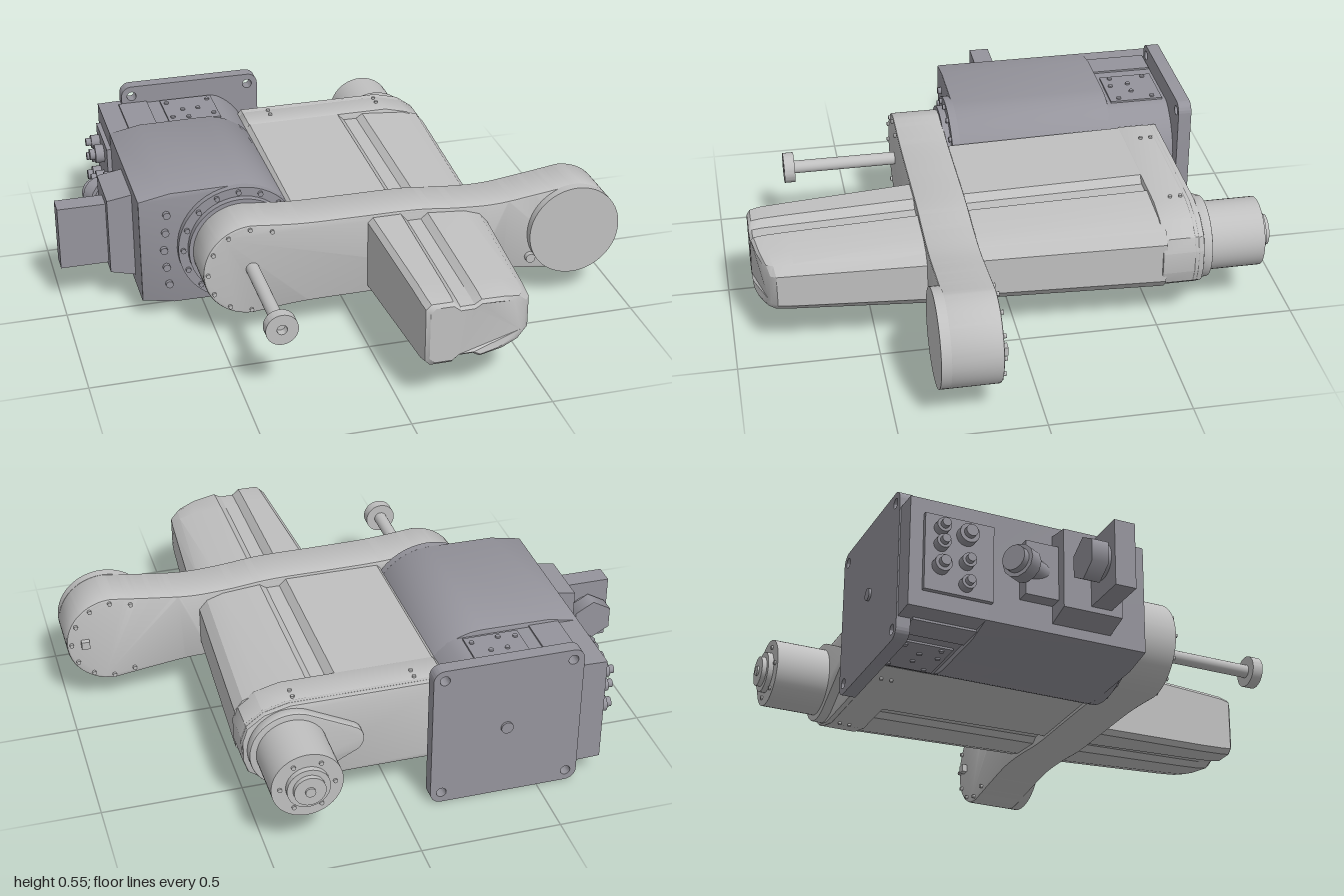
import * as THREE from 'three';
import { toCreasedNormals } from 'three/addons/utils/BufferGeometryUtils.js';

const CY = 0.28;   // height of the shared horizontal axis
const BX = -0.377; // x of the base and shoulder axis

const mats = {
  light: new THREE.MeshStandardMaterial({ color: 0xc0c0c0 }),
  dark: new THREE.MeshStandardMaterial({ color: 0x95949c }),
};
mats.light.name = 'light grey';
mats.dark.name = 'dark grey';

export function createModel() {
  const model = new THREE.Group();
  model.name = 'robotArm';

  const add = (name, geo, mat, x = 0, y = 0, z = 0) => {
    const m = new THREE.Mesh(geo, mats[mat]);
    m.name = name;
    m.position.set(x, y, z);
    model.add(m);
    return m;
  };
  const box = (name, mat, x0, x1, y0, y1, z0, z1) =>
    add(name, new THREE.BoxGeometry(x1 - x0, y1 - y0, z1 - z0), mat, (x0 + x1) / 2, (y0 + y1) / 2, (z0 + z1) / 2);
  // cylinder along z between z0 and z1
  const cylZ = (name, mat, x, y, r, z0, z1, n = 40) =>
    add(name, new THREE.CylinderGeometry(r, r, z1 - z0, n).rotateX(Math.PI / 2), mat, x, y, (z0 + z1) / 2);
  const cylX = (name, mat, y, z, r, x0, x1, n = 24) =>
    add(name, new THREE.CylinderGeometry(r, r, x1 - x0, n).rotateZ(Math.PI / 2), mat, (x0 + x1) / 2, y, z);
  const cylY = (name, mat, x, z, r, y0, y1, n = 10) =>
    add(name, new THREE.CylinderGeometry(r, r, y1 - y0, n), mat, x, (y0 + y1) / 2, z);
  // outline extruded from z0 to z1 with a small bevel
  const slab = (name, mat, shape, z0, z1, b = 0) => {
    const g = new THREE.ExtrudeGeometry(shape, {
      depth: z1 - z0 - 2 * b, bevelEnabled: b > 0, bevelSize: b, bevelThickness: b,
      bevelOffset: -b, bevelSegments: 2, curveSegments: 24,
    });
    return add(name, toCreasedNormals(g, 0.5), mat, 0, 0, z0 + b);
  };
  const poly = (pts) => new THREE.Shape(pts.map(([x, y]) => new THREE.Vector2(x, y)));
  // skin over matching rings running towards +z, closed at both ends
  const loft = (name, mat, rings) => {
    const n = rings[0].length, pos = rings.flat(2), idx = [];
    for (let r = 0; r < rings.length - 1; r++)
      for (let i = 0; i < n; i++) {
        const j = (i + 1) % n, a = r * n, b = a + n;
        idx.push(a + i, b + j, a + j, a + i, b + i, b + j);
      }
    const faces = THREE.ShapeUtils.triangulateShape(rings[0].map(p => new THREE.Vector2(p[0], p[1])), []);
    const e = (rings.length - 1) * n;
    const cw = THREE.ShapeUtils.isClockWise(rings[0].map(p => new THREE.Vector2(p[0], p[1])));
    for (const f of faces) {
      const [a, b, c] = f.map(k => rings[0][k]);
      const ccw = (b[0] - a[0]) * (c[1] - a[1]) - (b[1] - a[1]) * (c[0] - a[0]) > 0;
      const [p, q, s] = ccw ? f : [f[0], f[2], f[1]];
      idx.push(p, s, q, e + p, e + q, e + s);
    }
    // the outline runs clockwise, so flip the side walls
    if (cw) for (let k = 0; k < (rings.length - 1) * n * 6; k += 3) [idx[k + 1], idx[k + 2]] = [idx[k + 2], idx[k + 1]];
    for (let k = 0; k < (rings.length - 1) * n * 6; k += 3) [idx[k + 1], idx[k + 2]] = [idx[k + 2], idx[k + 1]];
    if (!cw) for (let k = 0; k < (rings.length - 1) * n * 6; k += 3) [idx[k + 1], idx[k + 2]] = [idx[k + 2], idx[k + 1]];
    // orient walls outward by checking the first one against the ring centre
    const g = new THREE.BufferGeometry();
    g.setAttribute('position', new THREE.Float32BufferAttribute(pos, 3));
    const P = (i) => new THREE.Vector3().fromArray(pos, i * 3);
    const nrm = P(idx[1]).sub(P(idx[0])).cross(P(idx[2]).sub(P(idx[0])));
    const mid = new THREE.Vector3(0.25, CY, P(idx[0]).z);
    if (nrm.dot(P(idx[0]).sub(mid)) < 0)
      for (let k = 0; k < (rings.length - 1) * n * 6; k += 3) [idx[k + 1], idx[k + 2]] = [idx[k + 2], idx[k + 1]];
    g.setIndex(idx);
    return add(name, toCreasedNormals(g, 0.5), mat);
  };

  // --- base: round column with a square back, flattened near the plate ---
  const baseOutline = (clip) => {
    const pts = [[-0.735, CY + 0.2], [-0.735, CY - 0.2], [-0.62, CY - 0.222]];
    for (let i = 0; i <= 32; i++) {
      const a = -Math.PI / 2 + Math.PI * i / 32;
      pts.push([BX + 0.224 * Math.cos(a), CY + 0.224 * Math.sin(a)]);
    }
    pts.push([-0.62, CY + 0.222]);
    return poly(pts.map(([x, y]) => [x, CY + Math.max(-clip, Math.min(clip, y - CY))]));
  };
  slab('baseColumn', 'dark', baseOutline(0.3), -0.49, 0.1, 0.006);
  slab('baseRear', 'dark', baseOutline(0.203), -0.762, -0.48);
  cylZ('shoulderFlange', 'dark', BX, CY, 0.224, 0.095, 0.125, 48);
  cylZ('shoulderBearing', 'dark', BX, CY, 0.19, 0.12, 0.15, 48);
  for (let i = 0; i < 16; i++) {
    const a = i * Math.PI / 8;
    cylZ('flangeBolt', 'dark', BX + 0.207 * Math.cos(a), CY + 0.207 * Math.sin(a), 0.01, 0.12, 0.135, 8);
  }
  for (const dy of [-0.14, -0.07, 0, 0.07, 0.14])
    cylZ('faceBolt', 'dark', -0.65 + Math.abs(dy) * 0.1, CY + dy, 0.014, 0.095, 0.115, 8);

  // mounting plate with a hole in each corner
  const plate = new THREE.Shape(), hw = 0.27, hh = 0.275, cr = 0.04;
  plate.absarc(BX + hw - cr, CY + hh - cr, cr, 0, Math.PI / 2);
  plate.absarc(BX - hw + cr, CY + hh - cr, cr, Math.PI / 2, Math.PI);
  plate.absarc(BX - hw + cr, CY - hh + cr, cr, Math.PI, Math.PI * 1.5);
  plate.absarc(BX + hw - cr, CY - hh + cr, cr, Math.PI * 1.5, Math.PI * 2);
  for (const sx of [-1, 1]) for (const sy of [-1, 1]) {
    const hole = new THREE.Path();
    hole.absarc(BX + sx * (hw - cr), CY + sy * (hh - cr), 0.018, 0, Math.PI * 2, true);
    plate.holes.push(hole);
  }
  slab('mountingPlate', 'dark', plate, -0.767, -0.718);
  cylZ('plateBoss', 'dark', BX, CY, 0.022, -0.775, -0.76);

  // access covers above and below
  for (const s of [-1, 1]) {
    const y = CY + s * 0.206;
    box('accessCover', 'dark', -0.5, -0.3, y - 0.004, y + 0.004, -0.705, -0.505);
    box('sideCover', 'dark', -0.66, -0.55, y - 0.004, y + 0.004, -0.715, -0.49);
    for (const [x, z] of [[-0.48, -0.67], [-0.32, -0.67], [-0.43, -0.6], [-0.37, -0.6], [-0.48, -0.54], [-0.42, -0.53], [-0.32, -0.54]])
      cylY('coverScrew', 'dark', x, z, 0.009, y - 0.01, y + 0.01);
  }

  // --- connectors on the outer side of the base ---
  slab('cableHousing', 'dark', poly([[-0.825, CY - 0.14], [-0.73, CY - 0.165], [-0.73, CY + 0.165], [-0.825, CY + 0.15]]), -0.25, -0.035);
  box('cableBlock', 'dark', -1, -0.82, CY - 0.12, CY + 0.12, -0.15, -0.075);
  cylZ('cableGland', 'dark', -0.915, CY, 0.06, -0.17, -0.15);
  cylZ('cableGlandNut', 'dark', -0.915, CY, 0.078, -0.225, -0.165, 6);
  box('glandSeat', 'dark', -0.785, -0.73, CY - 0.1, CY + 0.1, -0.37, -0.24);
  const gland = new THREE.Group();
  gland.name = 'angledGland';
  [[0.042, 0.12, 0], [0.06, 0.05, 0.075], [0.045, 0.03, 0.11]].forEach(([r, h, y], i) => {
    const m = new THREE.Mesh(new THREE.CylinderGeometry(r, r, h, i === 1 ? 12 : 24), mats.dark);
    m.name = 'glandRing';
    m.position.y = y;
    gland.add(m);
  });
  gland.position.set(-0.762, CY, -0.325);
  gland.quaternion.setFromUnitVectors(new THREE.Vector3(0, 1, 0), new THREE.Vector3(-0.5, 0, -0.86).normalize());
  model.add(gland);
  box('socketPanel', 'dark', -0.752, -0.73, CY - 0.14, CY + 0.14, -0.715, -0.47);
  for (const [dy, z, r] of [[0.09, -0.66, 0.025], [0.03, -0.66, 0.025], [-0.05, -0.66, 0.03], [-0.1, -0.57, 0.025], [0.08, -0.57, 0.035], [-0.02, -0.57, 0.025]]) {
    cylX('socket', 'dark', CY + dy, z, r, -0.785, -0.75);
    cylX('socketTip', 'dark', CY + dy, z, r * 0.6, -0.805, -0.78);
  }

  // --- link arm: two round ends joined by a narrower waist ---
  const top = [[-0.2, 0.16], [0.0, 0.157], [0.22, 0.155], [0.38, 0.14], [0.52, 0.135], [0.66, 0.15]];
  const link = new THREE.Shape();
  link.absarc(BX, CY, 0.176, Math.PI / 2, Math.PI * 1.5);
  link.splineThru([...top, [0.82, 0.172]].map(([x, h]) => new THREE.Vector2(x, CY - h)));
  link.absarc(0.82, CY, 0.172, -Math.PI / 2, Math.PI / 2);
  link.splineThru([...top.slice().reverse(), [BX, 0.176]].map(([x, h]) => new THREE.Vector2(x, CY + h)));
  slab('linkArm', 'light', link, 0.145, 0.325, 0.008);
  cylZ('elbowCap', 'light', 0.82, CY, 0.172, 0.32, 0.355, 56);
  cylZ('capPin', 'light', 0.66, CY - 0.1, 0.018, 0.32, 0.345, 12);
  for (let i = 0; i < 9; i++) {
    const a = Math.PI * (0.35 + i * 1.3 / 8);
    cylZ('linkScrew', 'light', BX + 0.16 * Math.cos(a), CY + 0.16 * Math.sin(a), 0.008, 0.32, 0.333, 8);
    cylZ('linkScrew', 'light', 0.82 - 0.155 * Math.cos(a), CY + 0.155 * Math.sin(a), 0.008, 0.135, 0.15, 8);
  }
  box('stopBlock', 'light', 0.91, 0.94, CY - 0.015, CY + 0.015, 0.125, 0.15);

  // --- housing: grooved, sloping towards its outer side ---
  const section = (z, xl, xr, h, g, slant = 0) => {
    const half = [[xl, h - 0.018], [xl + 0.018, h], [0.165, h], [0.19, h - g], [0.24, h - g], [0.265, h - g * 0.3],
      [xr - 0.09, h * 0.86], [xr - 0.03, h * 0.72], [xr, h * 0.48]];
    const zAt = (x) => z - slant * Math.max(0, x - 0.22) ** 2;
    return [...half.map(([x, y]) => [x, CY + y, zAt(x)]), ...half.reverse().map(([x, y]) => [x, CY - y, zAt(x)])];
  };
  loft('rearHousing', 'light', [section(-0.52, -0.205, 0.522, 0.157, 0.025), section(0.15, -0.205, 0.495, 0.145, 0.025)]);
  loft('frontHousing', 'light', [
    section(0.31, 0.043, 0.492, 0.145, 0.03), section(0.78, 0.064, 0.462, 0.127, 0.026),
    section(0.87, 0.067, 0.456, 0.122, 0.024, 0.5), section(0.905, 0.072, 0.44, 0.116, 0.022, 0.9),
    section(0.916, 0.085, 0.42, 0.104, 0.02, 1.1),
  ]);

  // closed rear end of the housing
  const end = [[-0.19, 0.158], [0.36, 0.158], [0.45, 0.135], [0.51, 0.09], [0.527, 0.04]];
  const endShape = poly([[-0.205, 0.14], ...end, ...end.slice().reverse().map(([x, y]) => [x, -y]), [-0.205, -0.14]].reverse().map(([x, y]) => [x, CY + y]));
  slab('housingEnd', 'light', endShape, -0.625, -0.505, 0.006);
  slab('housingEndPlate', 'light', endShape, -0.655, -0.63, 0.008);
  slab('housingEndSeam', 'light', endShape, -0.635, -0.62, 0.004);
  for (const s of [-1, 1]) for (const x of [-0.09, 0.34])
    for (const z of [-0.608, -0.57]) cylY('endScrew', 'light', x, z, 0.007, CY + s * 0.16 - 0.006, CY + s * 0.16 + 0.006, 8);

  // drive motor on a rounded, tapering flange
  const flange = new THREE.Shape();
  flange.absarc(0.365, CY, 0.147, -2.0, 2.0);
  flange.lineTo(0.15, CY + 0.055);
  flange.absarc(0.165, CY, 0.055, Math.PI * 0.6, Math.PI * 1.4);
  slab('motorFlange', 'light', flange, -0.69, -0.65, 0.004);
  cylZ('motor', 'light', 0.365, CY, 0.124, -0.888, -0.685, 48);
  cylZ('motorCap', 'light', 0.365, CY, 0.075, -0.908, -0.88, 32);
  cylZ('motorHub', 'light', 0.365, CY, 0.055, -0.925, -0.9, 32);
  cylZ('motorShaft', 'light', 0.365, CY, 0.018, -0.932, -0.92, 12);
  for (let i = 0; i < 6; i++) {
    const a = i * Math.PI / 3;
    cylZ('motorScrew', 'light', 0.365 + 0.095 * Math.cos(a), CY + 0.095 * Math.sin(a), 0.008, -0.895, -0.88, 8);
  }

  // --- tool shaft with an end stop bored through the middle ---
  cylZ('toolShaft', 'light', BX, CY + 0.004, 0.024, 0.315, 0.72, 28);
  const stop = new THREE.Shape().absarc(BX, CY + 0.004, 0.057, 0, Math.PI * 2);
  stop.holes.push(new THREE.Path().absarc(BX, CY + 0.004, 0.018, 0, Math.PI * 2, true));
  slab('shaftStop', 'light', stop, 0.71, 0.75);

  return model;
}
